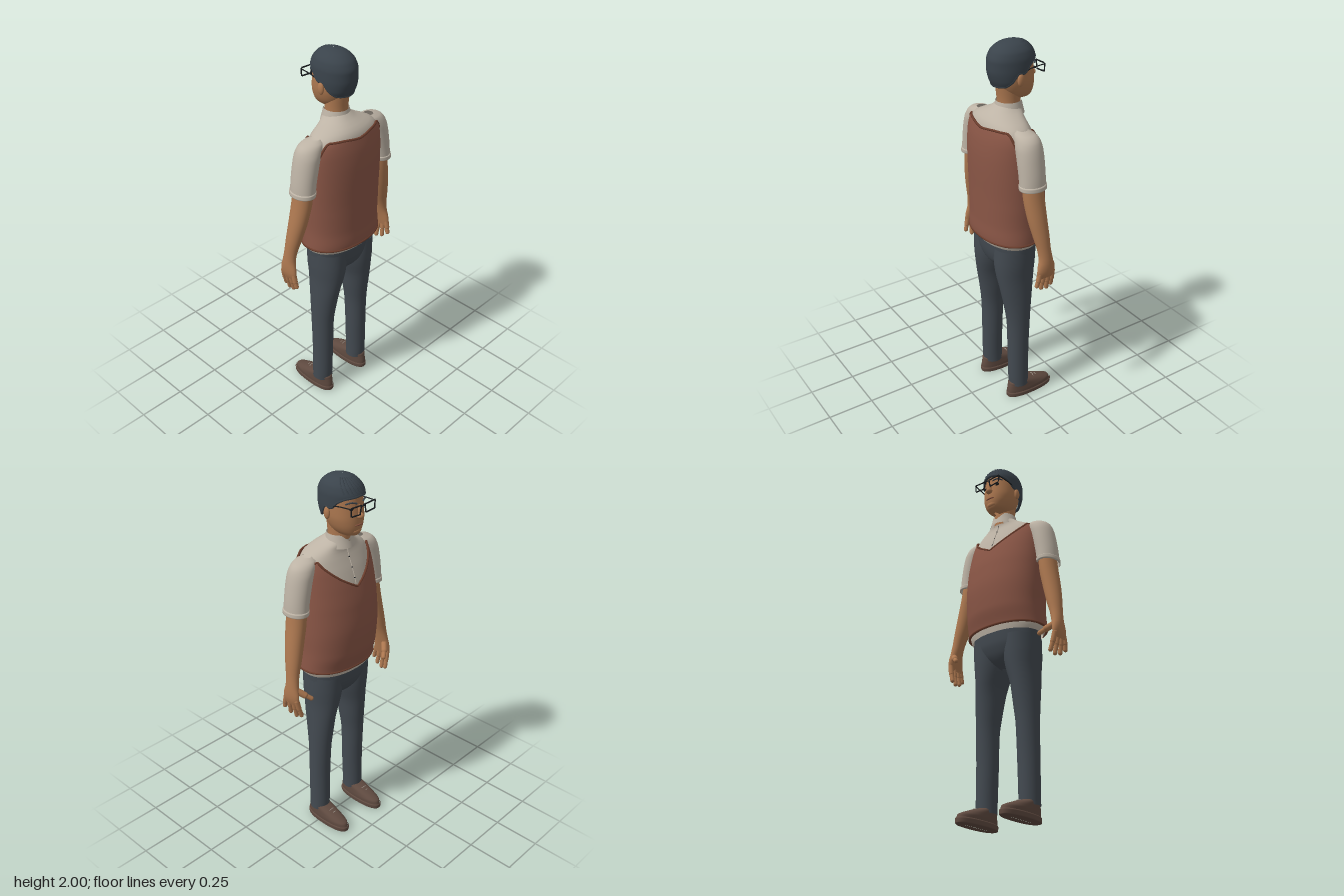
import * as THREE from 'three';

const mat = (name, color, side = THREE.FrontSide) => {
  const m = new THREE.MeshStandardMaterial({ color, side });
  m.name = name;
  return m;
};

// smooth interpolation of table rows [key, a, b, ...] at t
function sample(rows, t) {
  const n = rows.length;
  let i = 0;
  while (i < n - 2 && t > rows[i + 1][0]) i++;
  const p = rows[i], q = rows[i + 1], h = q[0] - p[0];
  const u = Math.min(1, Math.max(0, (t - p[0]) / h));
  const slope = (k, c) => {
    if (k === 0 || k === n - 1) {
      const j = k === 0 ? 0 : n - 2;
      return (rows[j + 1][c] - rows[j][c]) / (rows[j + 1][0] - rows[j][0]);
    }
    const d0 = (rows[k][c] - rows[k - 1][c]) / (rows[k][0] - rows[k - 1][0]);
    const d1 = (rows[k + 1][c] - rows[k][c]) / (rows[k + 1][0] - rows[k][0]);
    return d0 * d1 <= 0 ? 0 : 2 * d0 * d1 / (d0 + d1);
  };
  return p.slice(1).map((_, k) => {
    const c = k + 1, u2 = u * u, u3 = u2 * u;
    return p[c] * (2 * u3 - 3 * u2 + 1) + q[c] * (3 * u2 - 2 * u3)
      + h * (slope(i, c) * (u3 - 2 * u2 + u) + slope(i + 1, c) * (u3 - u2));
  });
}

// point on a body of cross-sections [y, cx, cz, rx, rz]
function point(rows, y, a, grow = 0, e = 1) {
  const [cx, cz, rx, rz] = sample(rows, y);
  const pw = v => Math.sign(v) * Math.abs(v) ** e;
  return new THREE.Vector3(cx + (rx + grow) * pw(Math.cos(a)), y, cz + (rz + grow) * pw(Math.sin(a)));
}

// skin over the cross-sections; lower and upper edges may vary with the angle
function shell(rows, { lo = () => rows[0][0], hi = () => rows[rows.length - 1][0], grow = 0, e = 1, steps = 24, segs = 48 } = {}) {
  const pos = [], idx = [];
  for (let i = 0; i <= steps; i++) for (let j = 0; j < segs; j++) {
    const a = j / segs * Math.PI * 2;
    const y = lo(a) + (hi(a) - lo(a)) * i / steps;
    pos.push(...point(rows, y, a, grow, e).toArray());
    if (i < steps) {
      const p = i * segs + j, q = i * segs + (j + 1) % segs;
      idx.push(p, p + segs, q, q, p + segs, q + segs);
    }
  }
  const g = new THREE.BufferGeometry();
  g.setAttribute('position', new THREE.Float32BufferAttribute(pos, 3));
  g.setIndex(idx);
  g.computeVertexNormals();
  return g;
}

const V = (x, y, z) => new THREE.Vector3(x, y, z);
const tube = (pts, r, closed = false, n = 24) =>
  new THREE.TubeGeometry(new THREE.CatmullRomCurve3(pts, closed), n, r, 6, closed);
// angle measured from the face side, 0 at the front to PI at the back
const fromFront = a => Math.acos(THREE.MathUtils.clamp(-Math.sin(a), -1, 1));

export function createModel() {
  const model = new THREE.Group();
  model.name = 'standingMan';
  const skin = mat('skin', 0xad7850), shirt = mat('shirt cloth', 0xbdb3a5, THREE.DoubleSide);
  const knit = mat('vest knit', 0x8a5646, THREE.DoubleSide), trim = mat('vest trim', 0x6e3f2e);
  const denim = mat('trousers', 0x434a51, THREE.DoubleSide), hairM = mat('hair', 0x3a434b);
  const leather = mat('shoe leather', 0x5f4a40), dark = mat('dark frame', 0x191c1f);
  const lip = mat('lips', 0x8a5440), lace = mat('laces', 0x9a8f84);
  const add = (name, geo, m, p, s) => {
    const mesh = new THREE.Mesh(geo, m);
    mesh.name = name;
    if (p) mesh.position.set(...p);
    if (s) mesh.scale.set(...s);
    model.add(mesh);
    return mesh;
  };
  const ball = (name, m, p, s) => add(name, new THREE.SphereGeometry(1, 20, 14), m, p, s);
  const finger = (name, a, b, r) => {
    const d = b.clone().sub(a);
    const mesh = add(name, new THREE.CapsuleGeometry(r, d.length(), 5, 10), skin);
    mesh.position.copy(a).addScaledVector(d, 0.5);
    mesh.quaternion.setFromUnitVectors(V(0, 1, 0), d.normalize());
  };

  // torso: shirt with the vest laid over it
  const torso = [[0.97, 0, 0.027, 0.203, 0.133], [1.0, 0, 0.03, 0.215, 0.142], [1.1, 0, 0.018, 0.213, 0.155],
    [1.22, 0, 0.015, 0.217, 0.159], [1.35, 0, 0.022, 0.218, 0.154], [1.45, 0, 0.032, 0.216, 0.143],
    [1.53, 0, 0.041, 0.212, 0.127], [1.58, 0, 0.046, 0.202, 0.112], [1.615, 0, 0.048, 0.178, 0.1],
    [1.64, 0, 0.04, 0.13, 0.088], [1.665, 0, 0.02, 0.082, 0.076], [1.69, 0, 0.008, 0.055, 0.06]];
  const neckline = [[0, 1.45], [0.35, 1.50], [0.8, 1.57], [1.05, 1.6], [1.22, 1.55], [1.42, 1.4],
    [1.75, 1.4], [1.95, 1.54], [2.2, 1.607], [2.6, 1.607], [Math.PI, 1.595]];
  const vestTop = a => sample(neckline, fromFront(a))[0];
  add('shirt', shell(torso, { e: 0.92, steps: 48, segs: 72 }), shirt);
  add('vest', shell(torso, { lo: () => 1.0, hi: vestTop, grow: 0.01, e: 0.92, steps: 40, segs: 96 }), knit);
  const edge = f => Array.from({ length: 80 }, (_, i) => {
    const a = i / 80 * Math.PI * 2;
    return point(torso, f(a), a, 0.008, 0.92);
  });
  add('vestNeckTrim', tube(edge(vestTop), 0.006, true, 160), trim);
  add('vestHem', tube(edge(() => 1.003), 0.007, true, 120), trim);

  // collar, placket and buttons
  const collar = [[1.64, 0, 0.005, 0.078, 0.08], [1.68, 0, 0.004, 0.068, 0.069], [1.705, 0, 0.003, 0.062, 0.064]];
  add('collar', shell(collar, { hi: a => 1.705 - 0.035 * Math.max(0, 1 - fromFront(a) / 0.7), steps: 8 }), shirt);
  const front = y => point(torso, y, -Math.PI / 2, 0.001, 0.92);
  add('placket', tube([1.46, 1.5, 1.55, 1.6, 1.64].map(front), 0.003), shirt);
  for (const y of [1.49, 1.54, 1.59, 1.63]) ball('button', dark, front(y).toArray(), [0.004, 0.004, 0.004]);

  // trousers: hips
  add('hips', shell([[0.8, 0, 0.03, 0.02, 0.04], [0.83, 0, 0.03, 0.1, 0.085], [0.87, 0, 0.028, 0.165, 0.108],
    [0.92, 0, 0.026, 0.188, 0.122], [1.0, 0, 0.026, 0.193, 0.13]], { e: 0.92 }), denim);

  for (const s of [1, -1]) {
    const side = s > 0 ? 'left' : 'right';
    const flip = rows => rows.map(([y, x, ...r]) => [y, x * s, ...r]);
    const limb = (name, rows, m, opt) => add(side + name, shell(flip(rows), opt), m);

    // leg
    limb('TrouserLeg', [[0.075, 0.133, 0.026, 0.052, 0.054], [0.1, 0.133, 0.027, 0.052, 0.056],
      [0.3, 0.13, 0.028, 0.055, 0.058], [0.48, 0.128, 0.026, 0.057, 0.064], [0.6, 0.121, 0.028, 0.064, 0.077],
      [0.7, 0.114, 0.031, 0.069, 0.092], [0.79, 0.101, 0.032, 0.082, 0.106],
      [0.86, 0.097, 0.031, 0.091, 0.113], [0.95, 0.095, 0.028, 0.094, 0.115]], denim);
    limb('CuffSeam', [[0.078, 0.133, 0.026, 0.054, 0.056], [0.088, 0.133, 0.026, 0.054, 0.056]], denim, { steps: 2 });

    // shoe
    limb('ShoeSole', [[0, 0.134, -0.042, 0.001, 0.09], [0.001, 0.134, -0.042, 0.046, 0.139], [0.006, 0.134, -0.042, 0.049, 0.142],
      [0.024, 0.134, -0.042, 0.05, 0.143], [0.03, 0.134, -0.042, 0.046, 0.139]], leather, { e: 0.85 });
    limb('ShoeUpper', [[0.026, 0.134, -0.041, 0.046, 0.138], [0.045, 0.134, -0.038, 0.047, 0.134],
      [0.062, 0.134, -0.023, 0.046, 0.116], [0.078, 0.134, -0.003, 0.045, 0.092],
      [0.095, 0.134, 0.02, 0.043, 0.062], [0.105, 0.134, 0.025, 0.03, 0.04]], leather, { e: 0.88 });
    for (const [z, y] of [[-0.1, 0.072], [-0.08, 0.081], [-0.06, 0.09]])
      add(side + 'Lace', tube([V(s * 0.11, y - 0.008, z), V(s * 0.134, y, z - 0.005), V(s * 0.158, y - 0.008, z)], 0.0025, false, 8), lace);

    // sleeve with its turned cuff
    limb('Sleeve', [[1.345, 0.266, 0.04, 0.055, 0.068], [1.4, 0.26, 0.04, 0.057, 0.068], [1.48, 0.246, 0.04, 0.06, 0.069],
      [1.54, 0.231, 0.04, 0.063, 0.068], [1.58, 0.213, 0.04, 0.066, 0.061],
      [1.605, 0.195, 0.042, 0.058, 0.048], [1.618, 0.18, 0.045, 0.025, 0.025]], shirt);
    limb('SleeveCuff', [[1.343, 0.267, 0.04, 0.052, 0.066], [1.346, 0.267, 0.04, 0.058, 0.072],
      [1.366, 0.265, 0.04, 0.059, 0.072], [1.37, 0.265, 0.04, 0.054, 0.066]], shirt, { steps: 8 });

    // arm and palm
    limb('Arm', [[0.875, 0.343, 0.01, 0.012, 0.045], [0.9, 0.345, 0.009, 0.019, 0.052], [0.94, 0.343, 0.007, 0.024, 0.048],
      [0.975, 0.338, 0.007, 0.027, 0.038], [1.02, 0.33, 0.011, 0.03, 0.036], [1.1, 0.312, 0.02, 0.039, 0.043],
      [1.2, 0.29, 0.031, 0.045, 0.051], [1.3, 0.27, 0.037, 0.047, 0.055], [1.4, 0.258, 0.04, 0.045, 0.053]], skin);
    // fingers: [base z, tip x, tip y, tip z]
    for (const [bz, x, y, z] of [[-0.03, 0.322, 0.81, -0.038], [-0.005, 0.327, 0.8, -0.008],
      [0.022, 0.333, 0.81, 0.028], [0.046, 0.342, 0.835, 0.06]]) {
      const knuckle = V(s * 0.345, 0.9, bz), mid = V(s * (0.347 + x) / 2, (0.895 + y) / 2, (bz + z) / 2);
      finger(side + 'Finger', knuckle, mid, 0.0135);
      finger(side + 'FingerTip', mid, V(s * x, y, z), 0.0115);
    }
    finger(side + 'ThumbBase', V(s * 0.335, 0.955, -0.015), V(s * 0.303, 0.925, -0.045), 0.017);
    finger(side + 'Thumb', V(s * 0.303, 0.925, -0.045), V(s * 0.276, 0.902, -0.064), 0.012);

    // ear, eye and brow
    ball(side + 'Ear', skin, [s * 0.094, 1.825, -0.005], [0.011, 0.031, 0.018]);
    ball(side + 'Eye', dark, [s * 0.043, 1.855, -0.114], [0.013, 0.006, 0.006]);
    add(side + 'Brow', tube([V(s * 0.02, 1.882, -0.127), V(s * 0.045, 1.889, -0.117), V(s * 0.068, 1.882, -0.098)], 0.004, false, 10), hairM);

    // spectacles
    const rim = [[0.012, 1.877], [0.083, 1.88], [0.08, 1.838], [0.02, 1.834]].map(([x, y]) => V(s * x, y, -0.148));
    rim.forEach((p, i) => add(side + 'SpectacleRim', tube([p, rim[(i + 1) % 4]], 0.0035, false, 2), dark));
    add(side + 'SpectacleArm', tube([V(s * 0.083, 1.876, -0.148), V(s * 0.09, 1.87, -0.06), V(s * 0.094, 1.85, 0)], 0.003, false, 10), dark);
  }
  add('spectacleBridge', tube([V(-0.014, 1.87, -0.148), V(0, 1.874, -0.15), V(0.014, 1.87, -0.148)], 0.003, false, 6), dark);

  // neck, head and face
  add('neck', shell([[1.64, 0, 0.005, 0.06, 0.062], [1.7, 0, 0.004, 0.056, 0.058], [1.8, 0, 0.01, 0.06, 0.062]]), skin);
  add('head', shell([[1.705, 0, -0.05, 0.012, 0.03], [1.715, 0, -0.05, 0.04, 0.06], [1.735, 0, -0.042, 0.061, 0.078],
    [1.77, 0, -0.033, 0.078, 0.094], [1.81, 0, -0.025, 0.087, 0.102], [1.86, 0, -0.016, 0.089, 0.107],
    [1.92, 0, -0.013, 0.086, 0.107], [1.965, 0, -0.012, 0.06, 0.075], [1.98, 0, -0.012, 0.01, 0.01]], { e: 0.95 }), skin);
  ball('nose', skin, [0, 1.818, -0.131], [0.019, 0.015, 0.019]);
  ball('noseBridge', skin, [0, 1.842, -0.122], [0.01, 0.03, 0.012]);
  ball('mouth', lip, [0, 1.773, -0.122], [0.027, 0.006, 0.009]);
  ball('chin', skin, [0, 1.74, -0.105], [0.032, 0.018, 0.02]);

  // hair cap: low at the nape, stepping up over the ears to the fringe
  const hair = [[1.78, 0, 0.01, 0.074, 0.075], [1.82, 0, 0.002, 0.091, 0.101], [1.87, 0, -0.008, 0.097, 0.121],
    [1.91, 0, -0.01, 0.096, 0.123], [1.95, 0, -0.01, 0.086, 0.108], [1.98, 0, -0.012, 0.061, 0.077],
    [1.994, 0, -0.014, 0.034, 0.044], [2.0, 0, -0.015, 0.002, 0.002]];
  const hairline = [[0, 1.917], [0.7, 1.908], [1.15, 1.885], [1.4, 1.855], [1.65, 1.86], [1.9, 1.82], [2.3, 1.795], [Math.PI, 1.788]];
  const hairEdge = a => sample(hairline, fromFront(a))[0];
  add('hair', shell(hair, { lo: hairEdge, e: 0.96, steps: 40, segs: 96 }), hairM);
  add('hairEdge', tube(Array.from({ length: 60 }, (_, i) => {
    const a = i / 60 * Math.PI * 2;
    return point(hair, hairEdge(a), a, -0.006, 0.96);
  }), 0.008, true, 120), hairM);
  // swept locks over the fringe
  for (let i = 0; i < 9; i++) {
    const a = -Math.PI / 2 + (i - 4) * 0.2;
    add('hairLock', tube([1.925, 1.95, 1.975, 1.99].map((y, k) => point(hair, y, a + k * 0.12, -0.002, 0.96)), 0.004, false, 12), hairM);
  }
  return model;
}
